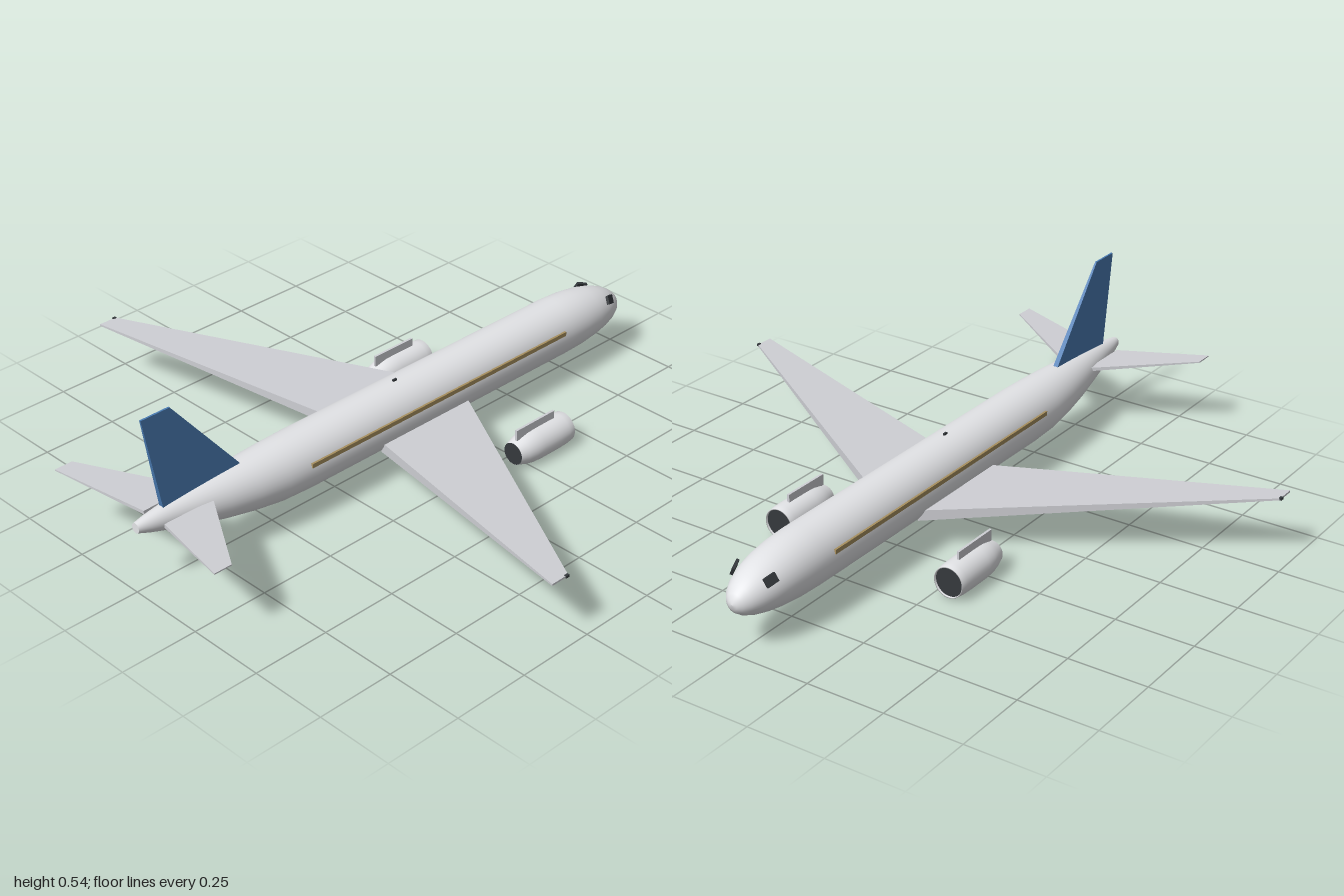
import * as THREE from 'three';
import { ConvexGeometry } from 'three/addons/geometries/ConvexGeometry.js';

const mat = (name, color) => {
  const m = new THREE.MeshStandardMaterial({ color });
  m.name = name;
  return m;
};

// Body skin from elliptical sections [x, bottom y, top y, half width]
function loft(sections, sides = 40) {
  const pos = [], idx = [], row = sides + 1;
  for (const [x, lo, hi, w] of sections) {
    for (let i = 0; i <= sides; i++) {
      const a = (i / sides) * Math.PI * 2;
      pos.push(x, (lo + hi) / 2 + Math.cos(a) * (hi - lo) / 2, Math.sin(a) * w);
    }
  }
  for (let s = 0; s < sections.length - 1; s++) {
    for (let i = 0; i < sides; i++) {
      const a = s * row + i, b = a + row;
      idx.push(a, a + 1, b, a + 1, b + 1, b);
    }
  }
  const g = new THREE.BufferGeometry();
  g.setAttribute('position', new THREE.Float32BufferAttribute(pos, 3));
  g.setIndex(idx);
  g.computeVertexNormals();
  // Match the normals along the seam
  const n = g.attributes.normal;
  for (let s = 0; s < sections.length; s++) {
    const a = s * row, b = a + sides;
    const v = new THREE.Vector3(n.getX(a) + n.getX(b), n.getY(a) + n.getY(b), 0).normalize();
    n.setXYZ(a, v.x, v.y, 0);
    n.setXYZ(b, v.x, v.y, 0);
  }
  return g;
}

// Tapered slab between two chords: { rear, front, y, z, t }
function slab(root, tip, side) {
  const pts = [];
  for (const c of [root, tip])
    for (const x of [c.rear, c.front])
      for (const s of [-0.5, 0.5]) pts.push(new THREE.Vector3(x, c.y + s * c.t, c.z * side));
  return new ConvexGeometry(pts);
}

export function createModel() {
  const body = mat('body white', 0xe4e5e8);
  const wingGrey = mat('wing grey', 0xcfd0d5);
  const blue = mat('fin blue', 0x4a7cb4);
  const gold = mat('stripe gold', 0xa8905f);
  const dark = mat('dark grey', 0x35393d);

  const model = new THREE.Group();
  model.name = 'airliner';
  const add = (name, geometry, material, x = 0, y = 0, z = 0, parent = model) => {
    const m = new THREE.Mesh(geometry, material);
    m.name = name;
    m.position.set(x, y, z);
    parent.add(m);
    return m;
  };

  // Fuselage
  add('fuselage', loft([
    [-0.99, 0.197, 0.229, 0.015], [-0.95, 0.182, 0.236, 0.025], [-0.88, 0.16, 0.244, 0.037],
    [-0.8, 0.137, 0.25, 0.051], [-0.7, 0.112, 0.256, 0.069], [-0.6, 0.093, 0.26, 0.083],
    [-0.5, 0.079, 0.263, 0.092], [-0.4, 0.075, 0.265, 0.095], [0, 0.075, 0.265, 0.095],
    [0.4, 0.075, 0.265, 0.095], [0.7, 0.075, 0.265, 0.095], [0.78, 0.077, 0.261, 0.092],
    [0.85, 0.084, 0.251, 0.085], [0.9, 0.092, 0.238, 0.075], [0.94, 0.102, 0.222, 0.062],
    [0.97, 0.114, 0.204, 0.046], [0.988, 0.127, 0.188, 0.03], [0.997, 0.141, 0.172, 0.015],
    [1, 0.156, 0.157, 0.0005],
  ]), body);
  const cap = add('tailCap', new THREE.CircleGeometry(1, 32), body, -0.99, 0.213, 0);
  cap.rotation.y = -Math.PI / 2;
  cap.scale.set(0.015, 0.016, 1);
  add('antenna', new THREE.BoxGeometry(0.014, 0.008, 0.006), dark, 0, 0.267, 0);

  // Tail fin
  const finPts = [];
  for (const [x, y, w] of [[-0.895, 0.225, 0.009], [-0.59, 0.225, 0.009], [-0.85, 0.542, 0.003], [-0.95, 0.542, 0.003]])
    finPts.push(new THREE.Vector3(x, y, w), new THREE.Vector3(x, y, -w));
  add('tailFin', new ConvexGeometry(finPts), blue);

  // Engine casing profile, spun about the long axis
  const casing = new THREE.LatheGeometry([
    [0.036, 0.2], [0.045, 0.228], [0.051, 0.256], [0.053, 0.29], [0.053, 0.36],
    [0.052, 0.4], [0.049, 0.424], [0.046, 0.424], [0.046, 0.415],
  ].map(([r, x]) => new THREE.Vector2(r, x)), 32).rotateZ(-Math.PI / 2);

  for (const side of [1, -1]) {
    const label = side > 0 ? 'near' : 'far';

    // Wings, tailplanes and tip lights
    add(label + 'Wing', slab(
      { rear: -0.123, front: 0.24, y: 0.117, z: 0.07, t: 0.034 },
      { rear: -0.362, front: -0.3, y: 0.206, z: 0.965, t: 0.006 }, side), wingGrey);
    add(label + 'Tailplane', slab(
      { rear: -0.925, front: -0.75, y: 0.211, z: 0.045, t: 0.012 },
      { rear: -1, front: -0.94, y: 0.244, z: 0.346, t: 0.004 }, side), wingGrey);
    add(label + 'TipLight', new THREE.BoxGeometry(0.012, 0.008, 0.008), dark, -0.305, 0.207, side * 0.965);

    // Side stripe and cockpit window
    add(label + 'Stripe', new THREE.BoxGeometry(1.085, 0.014, 0.008), gold, 0.122, 0.197, side * 0.0915);
    const win = add(label + 'CockpitWindow', new THREE.BoxGeometry(0.038, 0.028, 0.009), dark, 0.909, 0.213, side * 0.063);
    win.rotation.set(-side * 0.4, side * 0.4, -0.15);

    // Engine with intake, exhaust and pylon
    const engine = new THREE.Group();
    engine.name = label + 'Engine';
    engine.position.set(0, 0.055, side * 0.305);
    model.add(engine);
    add('casing', casing, body, 0, 0, 0, engine).material.side = THREE.DoubleSide;
    add('intake', new THREE.CircleGeometry(0.0465, 32).rotateY(Math.PI / 2), dark, 0.418, 0, 0, engine);
    add('exhaust', new THREE.CircleGeometry(0.036, 32).rotateY(-Math.PI / 2), dark, 0.2005, 0, 0, engine);
    add('pylon', new THREE.BoxGeometry(0.165, 0.036, 0.008), wingGrey, 0.293, 0.06, 0, engine);
  }
  return model;
}
